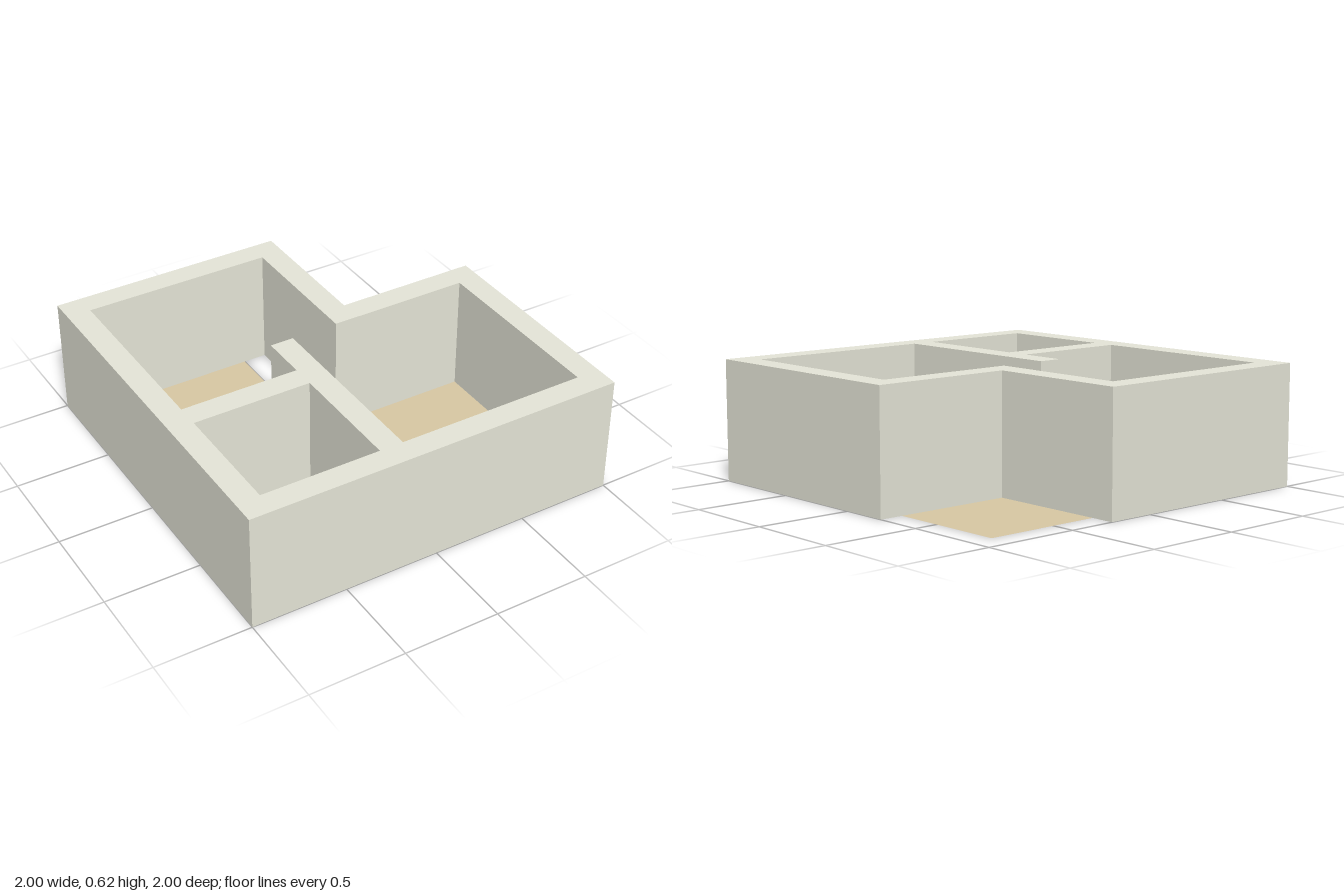
import * as THREE from 'three';

const WALL_HEIGHT = 0.625;

// Plan outlines are lists of [x, z]; shapes use y = -z so they lie flat after rotation.
// Reversing the order makes every outline counterclockwise, so all faces point outward.
const toPoints = (plan) => plan.map(([x, z]) => new THREE.Vector2(x, -z)).reverse();
const rect = (x0, z0, x1, z1) => [[x0, z0], [x1, z0], [x1, z1], [x0, z1]];

export function createModel() {
  const group = new THREE.Group();
  const wallMaterial = new THREE.MeshStandardMaterial({ color: 0xe6e6d8 });
  const floorMaterial = new THREE.MeshStandardMaterial({ color: 0xd8c8a4, side: THREE.DoubleSide });

  // Walls: building footprint with the rooms cut out
  const footprint = [[-1, -1], [0.25, -1], [0.25, -0.25], [1, -0.25], [1, 1], [-1, 1]];
  const openRooms = [
    [-0.875, -0.875], [0.125, -0.875], [0.125, -0.125], [0.875, -0.125], [0.875, 0.875],
    [-0.125, 0.875], [-0.125, -0.125], [-0.25, -0.125], [-0.25, 0.125], [-0.875, 0.125],
  ];
  const smallRoom = rect(-0.875, 0.25, -0.25, 0.875);
  const wallShape = new THREE.Shape(toPoints(footprint));
  for (const room of [openRooms, smallRoom]) wallShape.holes.push(new THREE.Path(toPoints(room)));
  const wallGeometry = new THREE.ExtrudeGeometry(wallShape, { depth: WALL_HEIGHT, bevelEnabled: false });
  wallGeometry.rotateX(-Math.PI / 2);
  const walls = new THREE.Mesh(wallGeometry, wallMaterial);
  walls.name = 'walls';
  group.add(walls);

  // Floors: thin sheets at ground level, with an open strip beside the back room
  const floors = {
    backRoomFloor: [
      [-0.875, -0.875], [0, -0.875], [0, -0.125], [-0.25, -0.125], [-0.25, 0.125], [-0.875, 0.125],
    ],
    mainRoomFloor: rect(-0.125, -0.125, 0.875, 0.875),
    smallRoomFloor: smallRoom,
    patioFloor: rect(0.25, -0.875, 0.875, -0.25),
  };
  for (const [name, plan] of Object.entries(floors)) {
    const geometry = new THREE.ShapeGeometry(new THREE.Shape(toPoints(plan)));
    geometry.rotateX(-Math.PI / 2);
    const floor = new THREE.Mesh(geometry, floorMaterial);
    floor.name = name;
    group.add(floor);
  }

  return group;
}
